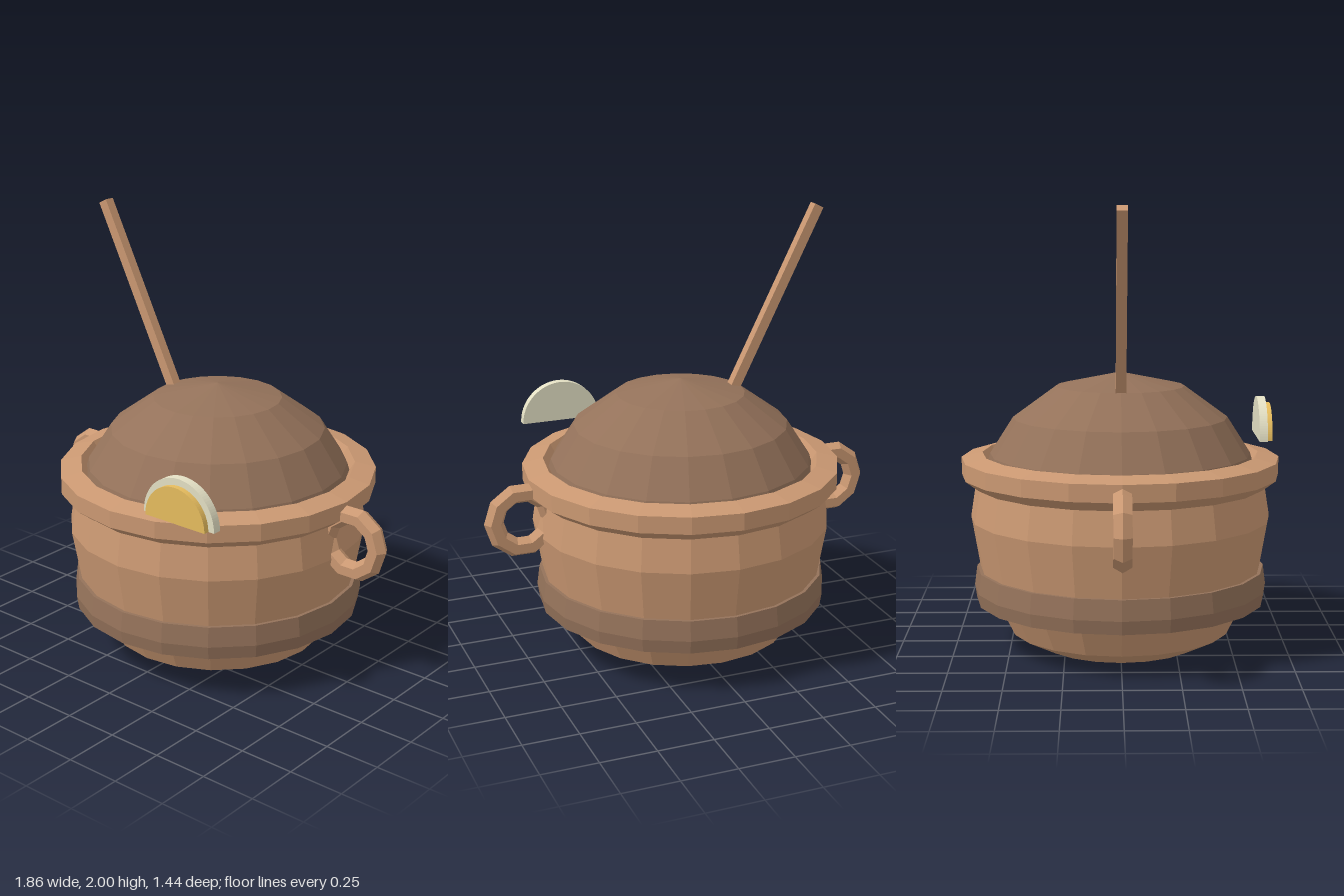
import * as THREE from 'three';

const SIDES = 20;

function createMaterials() {
  const make = (name, color) => {
    const m = new THREE.MeshStandardMaterial({ color });
    m.name = name;
    return m;
  };
  return {
    clay: make('clay', 0xca9872),
    darkClay: make('darkClay', 0x94725a),
    rind: make('paleRind', 0xe4e0c4),
    flesh: make('yellowFlesh', 0xe6bc5e),
  };
}

// Faceted normals for the low-poly look
function facet(geometry) {
  const g = geometry.index ? geometry.toNonIndexed() : geometry;
  g.computeVertexNormals();
  return g;
}

function lathe(profile) {
  return facet(new THREE.LatheGeometry(profile.map(([r, y]) => new THREE.Vector2(r, y)), SIDES));
}

// Upright half disc whose flat edge is at the bottom
function halfDisc(radius, depth) {
  const shape = new THREE.Shape();
  shape.absarc(0, 0, radius, 0, Math.PI, false);
  shape.closePath();
  return new THREE.ExtrudeGeometry(shape, { depth, bevelEnabled: false, curveSegments: 24 });
}

export function createModel() {
  const mat = createMaterials();
  const model = new THREE.Group();
  model.name = 'clayPotDrink';

  const add = (name, geometry, material, x = 0, y = 0, z = 0) => {
    const mesh = new THREE.Mesh(geometry, material);
    mesh.name = name;
    mesh.position.set(x, y, z);
    model.add(mesh);
    return mesh;
  };

  // Pot wall with chamfered foot
  add('potBody', lathe([
    [0, 0], [0.36, 0], [0.5, 0.07], [0.57, 0.21], [0.64, 0.36],
    [0.68, 0.59], [0.655, 0.75],
  ]), mat.clay);

  // Flared rim and its inner slope
  add('rim', lathe([
    [0.64, 0.74], [0.66, 0.74], [0.72, 0.785], [0.72, 0.862],
    [0.625, 0.885], [0.58, 0.81],
  ]), mat.clay);

  // Raised dark band around the belly
  add('band', lathe([
    [0.55, 0.21], [0.658, 0.21], [0.667, 0.27], [0.655, 0.36], [0.62, 0.36],
  ]), mat.darkClay);

  // Domed filling
  add('dome', lathe([
    [0.6, 0.845], [0.59, 0.88], [0.485, 1.045], [0.29, 1.187], [0, 1.25],
  ]), mat.darkClay);

  // Ring handles on both sides
  for (const side of [-1, 1]) {
    const ring = facet(new THREE.TorusGeometry(0.13, 0.045, 6, 10));
    const handle = add(side > 0 ? 'leftHandle' : 'rightHandle', ring, mat.clay, side * 0.755, 0.68, 0);
    if (side < 0) handle.rotation.y = Math.PI;
  }

  // Leaning straw, its lower end sunk in the dome
  const top = new THREE.Vector3(-0.66, 1.988, 0);
  const bottom = new THREE.Vector3(-0.225, 1.115, 0);
  const axis = top.clone().sub(bottom);
  const straw = add('straw', new THREE.BoxGeometry(0.046, axis.length(), 0.046), mat.clay);
  straw.position.copy(top).add(bottom).multiplyScalar(0.5);
  straw.quaternion.setFromUnitVectors(new THREE.Vector3(0, 1, 0), axis.normalize());

  // Citrus half slice on the front of the rim
  add('citrusRind', halfDisc(0.19, 0.038), mat.rind, 0.36, 0.9, 0.652);
  add('citrusFlesh', halfDisc(0.16, 0.025), mat.flesh, 0.36, 0.9, 0.69);

  return model;
}
